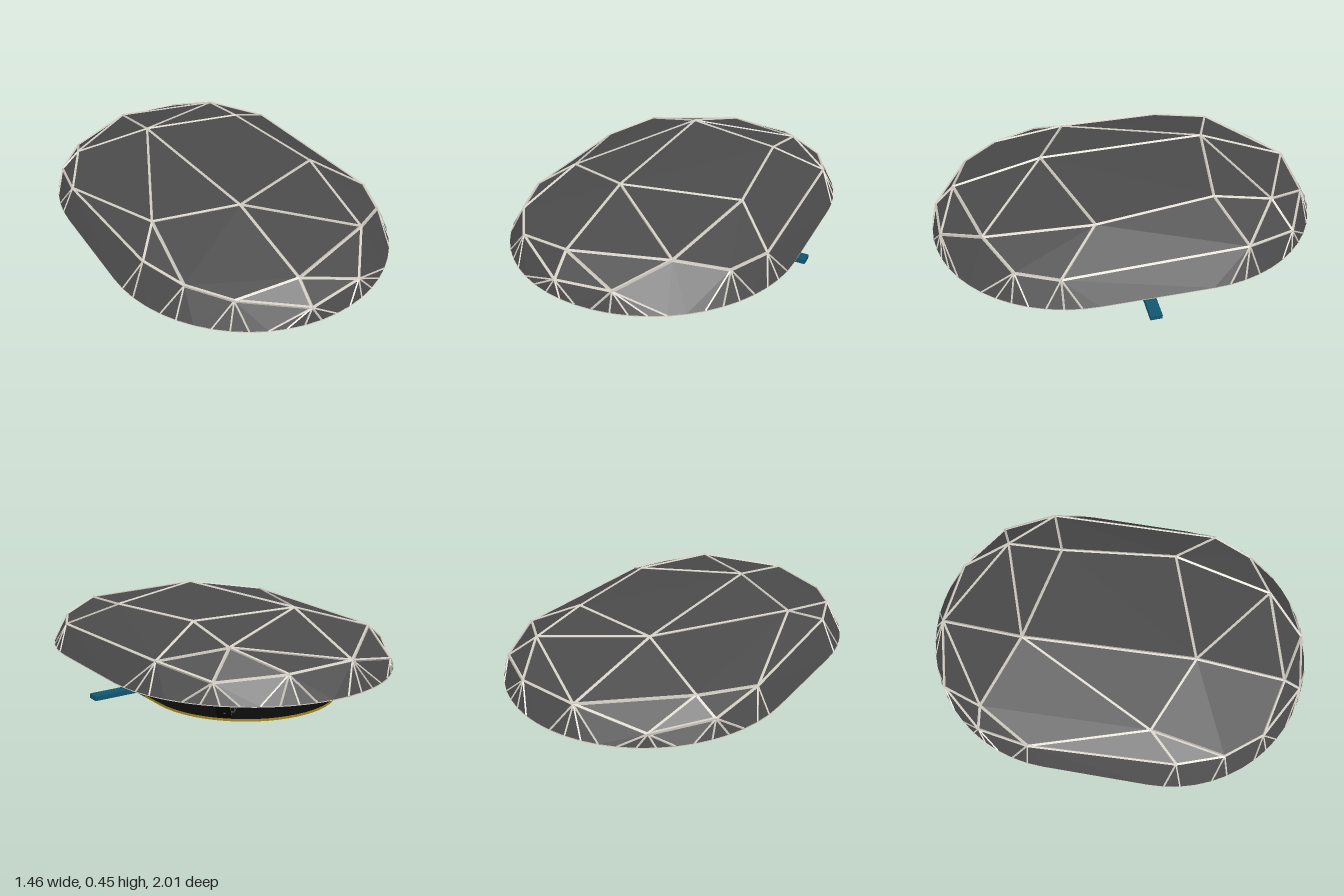
import * as THREE from 'three';
import { mergeGeometries } from 'three/addons/utils/BufferGeometryUtils.js';
import { ConvexGeometry } from 'three/addons/geometries/ConvexGeometry.js';

const V = (x, y, z) => new THREE.Vector3(x, y, z);
const mat = (name, color, extra = {}) => Object.assign(new THREE.MeshStandardMaterial({ color, ...extra }), { name });

const RIM_Y = 0.167, RADIUS = 0.73, HALF = 0.27;

// Outline with straight sides and round ends
function stadium(radius, half, n = 32) {
  const pts = [];
  for (const end of [1, -1]) {
    for (let i = 0; i <= n; i++) {
      const a = (i / n) * Math.PI + (end < 0 ? Math.PI : 0);
      pts.push(new THREE.Vector2(Math.cos(a) * radius, Math.sin(a) * radius + end * half));
    }
  }
  return pts;
}

// Dome height grows with the distance in from the rim
function domePoint(x, z) {
  const inset = RADIUS - Math.hypot(x, Math.max(0, Math.abs(z) - HALF));
  const u = 1 - Math.min(1, inset / 0.58);
  return V(x, RIM_Y + 0.275 * Math.sqrt(1 - u * u), z);
}

// Thin bar between two points
function bar(a, b, r, sides = 4) {
  const d = b.clone().sub(a);
  const g = new THREE.CylinderGeometry(r, r, d.length(), sides, 1);
  g.applyQuaternion(new THREE.Quaternion().setFromUnitVectors(V(0, 1, 0), d.normalize()));
  const m = a.clone().add(b).multiplyScalar(0.5);
  return g.translate(m.x, m.y, m.z);
}

// Facets of the dome, open below, with the ridges between them
function buildDome() {
  const knots = [
    [-0.15, -0.47], [-0.12, 0.41], [0.37, -0.37], [0.44, 0.23], [-0.12, 0.87], [0.34, 0.75],
    [-0.5, 0.24], [-0.51, -0.62], [0.385, -0.67], [0.63, -0.47], [0.65, 0.43], [-0.63, 0.39],
    [-0.55, 0.62], [-0.41, 0.8], [0.16, 0.95], [-0.085, -0.93], [0.25, -0.9], [-0.42, -0.85],
    [0.52, -0.74], [-0.66, -0.35], [-0.61, -0.62], [0.56, 0.63], [-0.12, 0.97],
  ].map(([x, z]) => domePoint(x, z));
  const rim = stadium(RADIUS, HALF, 28).map(p => V(p.x, RIM_Y, p.y));
  const pos = new ConvexGeometry([...knots, ...rim]).attributes.position;
  const keep = [], edges = new Map();
  const key = p => p.toArray().map(v => v.toFixed(3)).join(',');
  for (let i = 0; i < pos.count; i += 3) {
    const t = [0, 1, 2].map(k => new THREE.Vector3().fromBufferAttribute(pos, i + k));
    if (t.every(p => p.y < RIM_Y + 0.002)) continue;
    t.forEach(p => keep.push(p.x, p.y, p.z));
    const normal = new THREE.Triangle(...t).getNormal(V(0, 0, 0));
    for (let k = 0; k < 3; k++) {
      const a = t[k], b = t[(k + 1) % 3];
      const id = [key(a), key(b)].sort().join('|');
      if (!edges.has(id)) edges.set(id, { a, b, normals: [] });
      edges.get(id).normals.push(normal);
    }
  }
  const shell = new THREE.BufferGeometry();
  shell.setAttribute('position', new THREE.Float32BufferAttribute(keep, 3));
  shell.computeVertexNormals();
  const bars = [];
  for (const { a, b, normals } of edges.values()) {
    if (normals.length < 2 || normals[0].angleTo(normals[1]) < 0.09) continue;
    const nearRim = Math.min(a.y, b.y) < RIM_Y + 0.01;
    bars.push(bar(a, b, nearRim ? 0.005 : 0.008));
  }
  return { shell, ridges: mergeGeometries(bars) };
}

// Wire mesh lamp hanging under the dome, swelling outwards
function buildLamp(sx, sz) {
  const path = [
    [0.195, 0.163, 0.39, 0.038], [0.195, 0.15, 0.39, 0.036], [0.195, 0.145, 0.39, 0.02], [0.195, 0.115, 0.395, 0.02],
    [0.225, 0.09, 0.44, 0.035], [0.29, 0.088, 0.53, 0.045], [0.35, 0.083, 0.61, 0.045], [0.41, 0.105, 0.67, 0.03], [0.45, 0.125, 0.71, 0.008],
  ];
  const sides = 8;
  const rings = path.map(([x, y, z, r], i) => {
    const out = V(0.59, 0, 0.81), flat = V(0.81, 0, -0.59);
    const across = i < 4 ? out : V(0, 1, 0);
    return Array.from({ length: sides }, (_, k) => {
      const a = (k / sides) * Math.PI * 2;
      const p = V(x, y, z).addScaledVector(flat, Math.cos(a) * r).addScaledVector(across, Math.sin(a) * r);
      return p.multiply(V(sx, 1, sz));
    });
  });
  const bars = [];
  rings.forEach((ring, i) => ring.forEach((p, k) => {
    bars.push(bar(p, ring[(k + 1) % sides], 0.001, 3));
    if (i) bars.push(bar(rings[i - 1][k], p, 0.001, 3));
  }));
  return mergeGeometries(bars);
}

export function createModel() {
  const panel = mat('dome panel grey', 0x4b4b4b, { side: THREE.DoubleSide, flatShading: true });
  const frame = mat('frame off-white', 0xd2cec4, { flatShading: true });
  const black = mat('black', 0x0a0a0a);
  const gold = mat('gold edge', 0xa88a18);
  const blue = mat('ship blue', 0x11566f);
  const wire = mat('wire grey', 0x77777a);

  const group = new THREE.Group();
  const add = (name, geometry, material) => {
    const mesh = new THREE.Mesh(geometry, material);
    mesh.name = name;
    group.add(mesh);
    return mesh;
  };
  const slab = (shape, y, height) => new THREE.ExtrudeGeometry(shape, { depth: height, bevelEnabled: false })
    .rotateX(-Math.PI / 2).translate(0, y, 0);

  // Faceted dome, its ridges and the rim band
  const dome = buildDome();
  add('domePanels', dome.shell, panel);
  add('domeRidges', dome.ridges, frame);
  const band = new THREE.Shape(stadium(RADIUS, HALF));
  band.holes.push(new THREE.Path(stadium(RADIUS - 0.008, HALF)));
  add('domeRim', slab(band, RIM_Y - 0.004, 0.004), frame);

  // Floor plate with a gold edge
  add('floorPlate', slab(new THREE.Shape(stadium(0.483, 0.25)), 0, 0.012), [black, gold]);

  // Flat legs leaning out from the floor to the rim
  const leg = (name, a, b) => {
    const dir = b.clone().sub(a), length = dir.length();
    dir.normalize();
    const side = dir.clone().cross(V(0, 1, 0)).normalize();
    const m = add(name, new THREE.BoxGeometry(0.065, length, 0.008), [gold, gold, black, black, black, black]);
    m.quaternion.setFromRotationMatrix(new THREE.Matrix4().makeBasis(side, dir, side.clone().cross(dir)));
    m.position.copy(a).add(b).multiplyScalar(0.5);
  };
  for (const sx of [1, -1]) for (const sz of [1, -1]) {
    leg('cornerLeg', V(0.335 * sx, 0.012, 0.57 * sz), V(0.505 * sx, RIM_Y, 0.785 * sz));
    add('wireLamp', buildLamp(sx, sz), wire);
  }
  leg('sideLeg', V(0.48, 0.012, 0), V(0.715, RIM_Y, 0));

  // Small ship docked at the left side: hull, notched tail and side pods
  const hull = new THREE.Shape([
    [0.455, 0.013], [0.475, 0.004], [0.715, 0.005], [0.715, 0.028], [0.545, 0.028],
    [0.545, 0.055], [0.5, 0.03], [0.448, 0.046],
  ].map(p => new THREE.Vector2(...p)));
  add('shipHull', new THREE.ExtrudeGeometry(hull, { depth: 0.06, bevelEnabled: false }).translate(0, 0, -0.03), blue);
  const pod = new THREE.Shape([[0.26, 0.03], [0.285, 0.013], [0.5, 0.013], [0.5, 0.02], [0.28, 0.02]]
    .map(p => new THREE.Vector2(...p)));
  for (const s of [1, -1]) {
    add('shipPod', new THREE.ExtrudeGeometry(pod, { depth: 0.045, bevelEnabled: false })
      .translate(0, 0, s * 0.1 - 0.0225), blue);
  }

  // Low wire stands on the floor
  for (const s of [1, -1]) {
    const bars = [];
    for (const y of [0.014, 0.028]) bars.push(bar(V(-0.05, y, 0.38 * s), V(0.05, y, 0.38 * s), 0.001, 3));
    for (let x = -0.05; x < 0.06; x += 0.02) bars.push(bar(V(x, 0.012, 0.38 * s), V(x, 0.028, 0.38 * s), 0.001, 3));
    add('wireStand', mergeGeometries(bars), wire);
  }
  return group;
}
